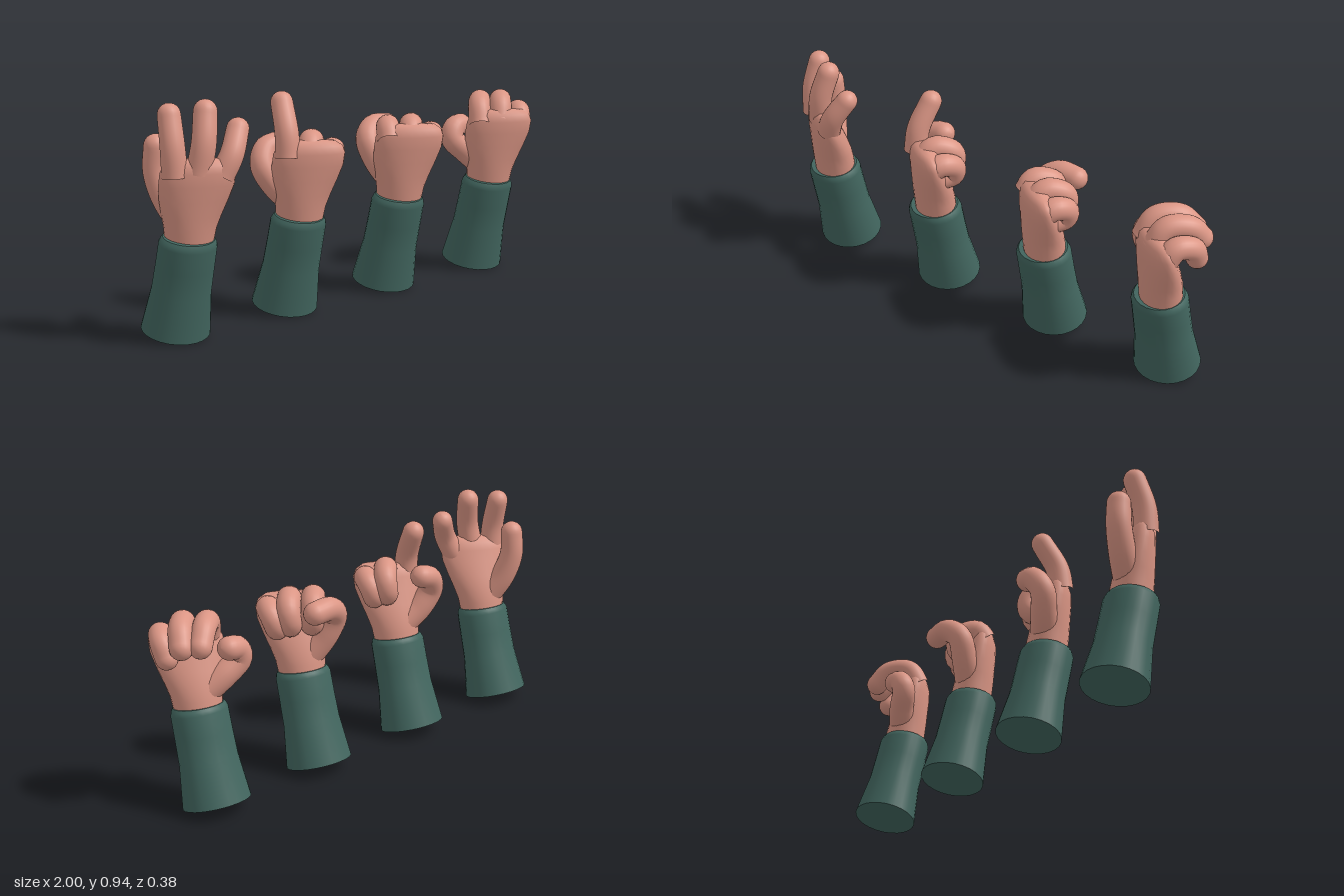
import * as THREE from 'three';

const skin = new THREE.MeshStandardMaterial({ color: 0xdb9685 });
skin.name = 'skin';
const cloth = new THREE.MeshStandardMaterial({ color: 0x42665f });
cloth.name = 'sleeveCloth';

const SIDES = 24;
const V = (x, y, z) => new THREE.Vector3(x, y, z);

// ellipse of points around centre c, spanned by axes e1 and e2
function ring(c, e1, e2, a, b = a) {
  return Array.from({ length: SIDES }, (_, i) => {
    const t = (i / SIDES) * Math.PI * 2;
    return c.clone().addScaledVector(e1, a * Math.cos(t)).addScaledVector(e2, b * Math.sin(t));
  });
}

// smooth surface over a list of rings
function loft(name, rings, material) {
  const index = [];
  for (let i = 0; i < rings.length - 1; i++) {
    for (let j = 0; j < SIDES; j++) {
      const k = (j + 1) % SIDES, p = i * SIDES, q = p + SIDES;
      index.push(p + j, p + k, q + j, p + k, q + k, q + j);
    }
  }
  const g = new THREE.BufferGeometry().setFromPoints(rings.flat());
  g.setIndex(index);
  g.computeVertexNormals();
  const mesh = new THREE.Mesh(g, material);
  mesh.name = name;
  return mesh;
}

// round-tipped finger from its root through the joints, radius r0 to r1
function digit(name, root, joints, r0, r1) {
  const curve = new THREE.CatmullRomCurve3([root, ...joints]);
  const n = 22, f = curve.computeFrenetFrames(n, false), rings = [];
  for (let i = 0; i <= n; i++) {
    const t = i / n;
    rings.push(ring(curve.getPointAt(t), f.normals[i], f.binormals[i], r0 + (r1 - r0) * t));
  }
  const end = curve.getPointAt(1);
  for (let i = 1; i <= 6; i++) {
    const a = (i / 6) * Math.PI / 2;
    const c = end.clone().addScaledVector(f.tangents[n], r1 * Math.sin(a));
    rings.push(ring(c, f.normals[n], f.binormals[n], r1 * Math.cos(a)));
  }
  return loft(name, rings, skin);
}

// sleeve: flared tube leaning forward, with closed hem and a rim at the wrist
function sleeve() {
  const g = new THREE.Group();
  g.name = 'sleeve';
  const at = (y, z, rx, rz, deg) => {
    const t = THREE.MathUtils.degToRad(deg);
    return ring(V(0, y, z), V(1, 0, 0), V(0, Math.sin(t), -Math.cos(t)), rx, rz);
  };
  const hem = at(0.033, -0.067, 0.14, 0.127, 15);
  const rim = at(0.413, 0.027, 0.102, 0.096, 10);
  g.add(
    loft('hemCap', [at(0.033, -0.067, 0, 0, 15), hem], cloth),
    loft('sleeveBody', [
      hem, at(0.2, -0.025, 0.121, 0.107, 15), at(0.3, 0, 0.118, 0.106, 13),
      at(0.387, 0.021, 0.117, 0.105, 12), at(0.402, 0.025, 0.111, 0.101, 11), rim,
    ], cloth),
    loft('sleeveRim', [rim, at(0.413, 0.027, 0.07, 0.065, 10)], cloth),
  );
  return g;
}

// palm: cross-sections turned about the wrist, wide at the knuckles
function palm() {
  const u = V(0.82, 0, 0.57), v = V(0.57, 0, -0.82);
  const section = (y, z, a, b) => ring(V(0.005, y, z), u, v, a, b);
  return loft('palm', [
    section(0.38, 0.02, 0.092, 0.085), section(0.45, 0.03, 0.101, 0.085),
    section(0.5, 0.04, 0.114, 0.082), section(0.56, 0.055, 0.131, 0.074),
    section(0.62, 0.073, 0.143, 0.064), section(0.67, 0.084, 0.143, 0.056),
    section(0.7, 0.087, 0.13, 0.047), section(0.72, 0.088, 0.1, 0.03),
    section(0.725, 0.088, 0, 0),
  ], skin);
}

// one hand: each digit starts at the same root and follows its own joints
function hand(name, x, index, middle, little, thumb) {
  const g = new THREE.Group();
  g.name = name;
  g.position.x = x;
  g.add(
    sleeve(), palm(),
    digit('indexFinger', V(-0.075, 0.655, 0.047), index, 0.05, 0.045),
    digit('middleFinger', V(0, 0.665, 0.093), middle, 0.05, 0.046),
    digit('littleFinger', V(0.077, 0.65, 0.131), little, 0.049, 0.044),
    digit('thumb', V(-0.015, 0.47, 0), thumb, 0.056, 0.047),
  );
  return g;
}

export function createModel() {
  const model = new THREE.Group();
  model.name = 'handPoses';

  // fingers folded into the palm, shared by the closed poses
  const foldedMiddle = [V(0.035, 0.71, 0.06), V(0.088, 0.685, 0.01), V(0.085, 0.625, 0.003), V(0.05, 0.6, 0.04)];
  const foldedLittle = [V(0.108, 0.675, 0.108), V(0.132, 0.652, 0.058), V(0.118, 0.605, 0.048), V(0.085, 0.59, 0.08)];

  model.add(
    hand('openHand', -0.86,
      [V(-0.078, 0.77, 0.04), V(-0.067, 0.885, 0.008)],
      [V(0.018, 0.78, 0.105), V(0.047, 0.895, 0.08)],
      [V(0.118, 0.73, 0.145), V(0.173, 0.818, 0.115)],
      [V(-0.05, 0.56, -0.05), V(-0.07, 0.66, -0.078), V(-0.07, 0.757, -0.075)]),
    hand('pointingHand', -0.306,
      [V(-0.069, 0.755, 0.034), V(-0.045, 0.866, -0.022)],
      foldedMiddle, foldedLittle,
      [V(-0.075, 0.54, -0.04), V(-0.108, 0.615, -0.068), V(-0.075, 0.675, -0.088), V(-0.03, 0.69, -0.085)]),
    hand('fist', 0.25,
      [V(-0.055, 0.705, 0.015), V(0.002, 0.685, -0.04), V(0.003, 0.62, -0.04), V(-0.025, 0.6, 0)],
      foldedMiddle, foldedLittle,
      [V(-0.06, 0.56, -0.05), V(-0.075, 0.645, -0.085), V(-0.02, 0.69, -0.11), V(0.06, 0.69, -0.113)]),
    hand('grippingHand', 0.8,
      [V(-0.045, 0.735, 0.01), V(0.025, 0.742, -0.05), V(0.075, 0.69, -0.085)],
      [V(0.035, 0.742, 0.06), V(0.098, 0.74, 0), V(0.13, 0.688, -0.04)],
      [V(0.108, 0.702, 0.105), V(0.147, 0.69, 0.052), V(0.15, 0.637, 0.022)],
      [V(-0.075, 0.53, -0.04), V(-0.134, 0.59, -0.065), V(-0.115, 0.635, -0.072), V(-0.075, 0.645, -0.075)]),
  );
  return model;
}
